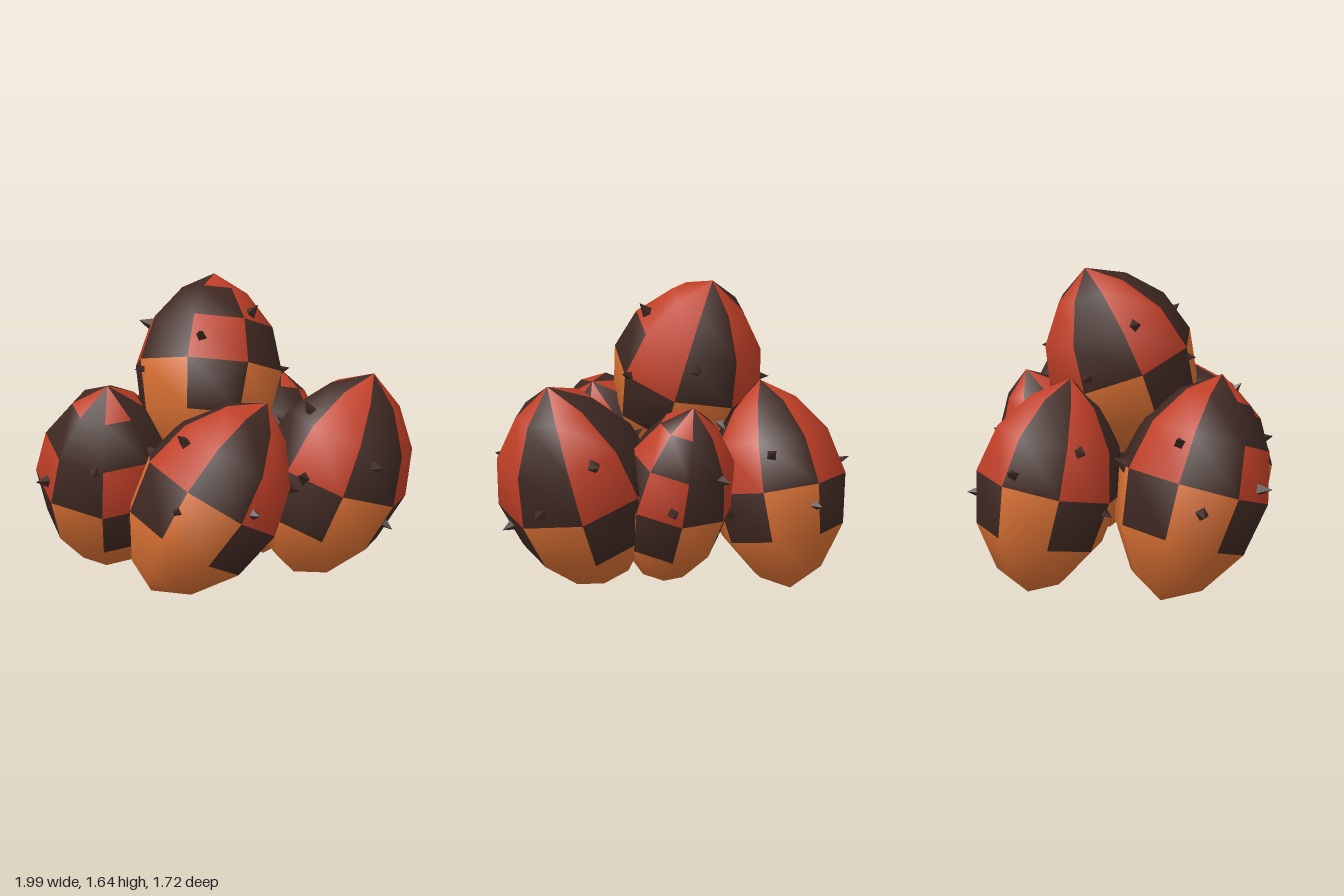
import * as THREE from 'three';

const RED = new THREE.MeshStandardMaterial({ color: 0xc03f27 });
const ORANGE = new THREE.MeshStandardMaterial({ color: 0xd97033 });
const DARK = new THREE.MeshStandardMaterial({ color: 0x3f2822 });
const SPIKE = new THREE.MeshStandardMaterial({ color: 0x3f2822, flatShading: true });

// Egg profile, bottom to top: relative radius and height
const PROFILE = [[0, -1], [0.48, -0.82], [0.87, -0.43], [1, 0.04], [0.84, 0.47], [0.47, 0.8], [0, 1]];
const COLUMNS = 8, ROWS = PROFILE.length - 1, SPIKES = 8;
const UP = new THREE.Vector3(0, 1, 0);
const { degToRad } = THREE.MathUtils;

// Red columns alternate with dark ones on the upper half, with dark patches under
// the red ones and a plain shell below; swaps lists inverted patches as 'column-row'
function patchMaterial(col, row, swaps) {
  const even = col % 2 === 0;
  if (row > 3) return ORANGE;
  if (row === 3) return even ? DARK : ORANGE;
  return even !== swaps.includes(`${col}-${row}`) ? RED : DARK;
}

// Surface radius and slope at a relative height
function profileAt(h) {
  const i = PROFILE.findIndex(([, y]) => y > h);
  const [r0, y0] = PROFILE[i - 1], [r1, y1] = PROFILE[i];
  const slope = (r1 - r0) / (y1 - y0);
  return { r: r0 + slope * (h - y0), slope };
}

// base and tip end the axis; redAngle and spikeAngle turn from +z towards +x
function makeEgg(name, base, tip, radius, redAngle, spikeAngle, swaps = []) {
  const group = new THREE.Group();
  group.name = name;
  const half = base.distanceTo(tip) / 2;
  group.position.copy(base).add(tip).multiplyScalar(0.5);
  group.quaternion.setFromUnitVectors(UP, tip.clone().sub(base).normalize());

  // Shell: one smooth lathe, its faces shared out between three colours
  const points = PROFILE.map(([r, h]) => new THREE.Vector2(r * radius, h * half));
  const lathe = new THREE.LatheGeometry(points, COLUMNS, degToRad(redAngle - 180 / COLUMNS));
  const faces = new Map([[RED, []], [ORANGE, []], [DARK, []]]);
  for (let col = 0; col < COLUMNS; col++) {
    for (let j = 0; j < ROWS; j++) {
      const start = (col * ROWS + j) * 6;
      const list = faces.get(patchMaterial(col, ROWS - 1 - j, swaps));
      for (let k = 0; k < 6; k++) list.push(lathe.index.getX(start + k));
    }
  }
  const names = new Map([[RED, 'redPatches'], [ORANGE, 'orangeShell'], [DARK, 'darkPatches']]);
  for (const [material, index] of faces) {
    const geometry = lathe.clone();
    geometry.setIndex(index);
    const mesh = new THREE.Mesh(geometry, material);
    mesh.name = names.get(material);
    group.add(mesh);
  }

  // Small thorns winding up the shell in golden-angle steps
  const thorn = new THREE.ConeGeometry(0.04, 0.085, 4);
  for (let k = 0; k < SPIKES; k++) {
    const a = degToRad(spikeAngle + k * 137.5);
    const h = -0.15 + k * 0.1;
    const { r, slope } = profileAt(h);
    const normal = new THREE.Vector3(Math.sin(a), -slope * radius / half, Math.cos(a)).normalize();
    const spike = new THREE.Mesh(thorn, SPIKE);
    spike.name = 'spike';
    const reach = r * radius * 0.94;
    spike.position.set(Math.sin(a) * reach, h * half, Math.cos(a) * reach).addScaledVector(normal, 0.025);
    spike.quaternion.setFromUnitVectors(UP, normal);
    group.add(spike);
  }
  return group;
}

export function createModel() {
  const model = new THREE.Group();
  model.name = 'eggCluster';
  const at = (x, y, z) => new THREE.Vector3(x, y, z);
  model.add(
    makeEgg('frontLeftEgg', at(-0.69, 0.01, 0.09), at(-0.49, 1.13, 0.43), 0.395, 45, 270, ['6-1', '0-1', '2-1']),
    makeEgg('frontEgg', at(-0.17, 0.11, 0.62), at(0.32, 1.07, 0.23), 0.4, 67.5, 0),
    makeEgg('rightEgg', at(0.39, 0.04, -0.04), at(0.765, 1.17, -0.19), 0.415, 90, 75),
    makeEgg('topEgg', at(-0.08, 0.62, 0.17), at(-0.16, 1.64, -0.23), 0.41, 30, 185, ['0-1', '1-0', '1-1']),
    makeEgg('backLeftEgg', at(-0.46, 0, -0.57), at(-0.4, 1.11, -0.33), 0.38, 205, 180),
    makeEgg('backEgg', at(0.15, 0.05, -0.2), at(0.13, 1.06, -0.53), 0.315, 45, 95, ['1-1', '2-1', '0-1']),
  );
  return model;
}
